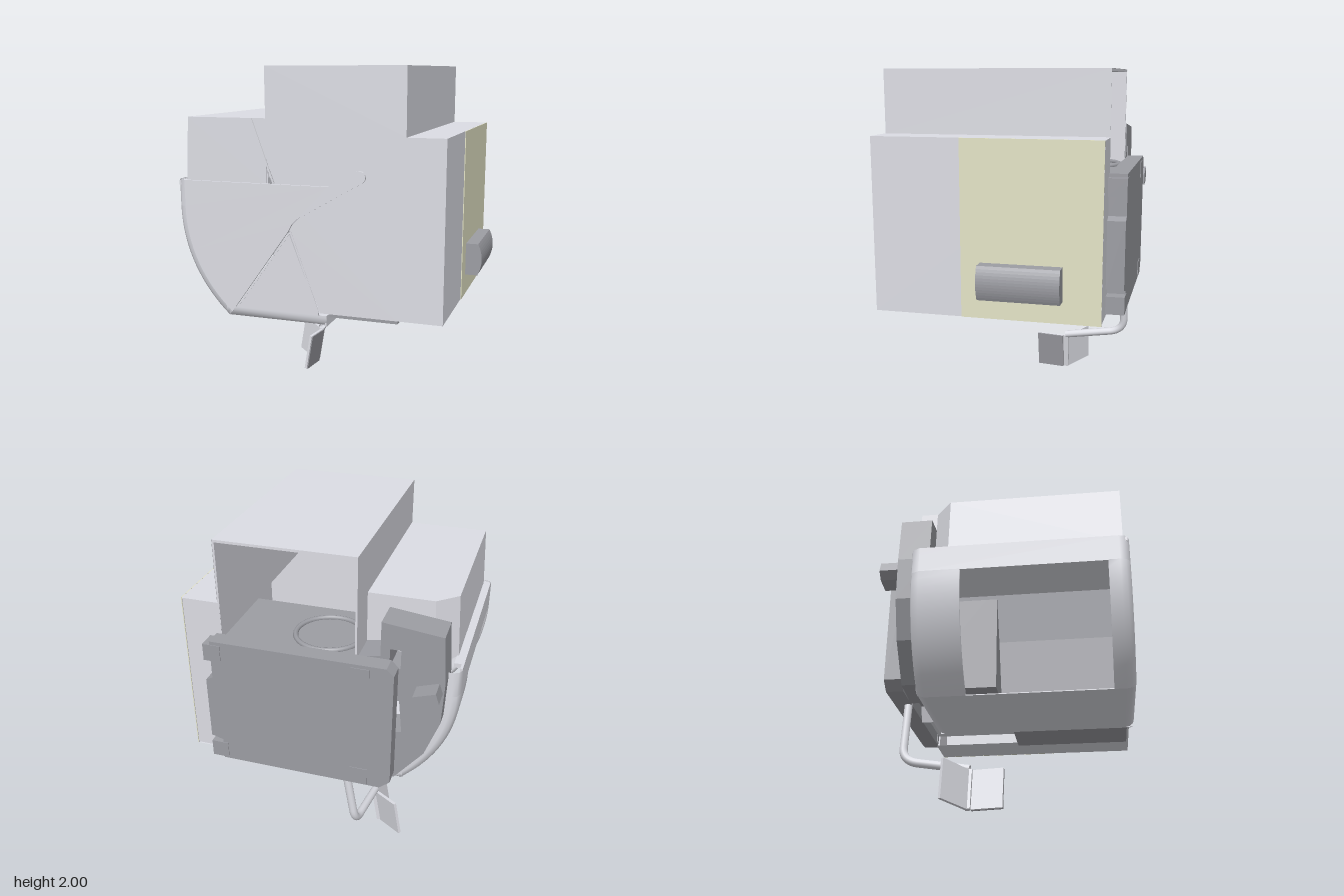
import * as THREE from 'three';

export function createModel() {
  const root = new THREE.Group();
  const mat = (name, color) => new THREE.MeshStandardMaterial({ name, color, side: THREE.DoubleSide });
  const light = mat('light grey', 0xdcdde4);
  const dark = mat('dark grey', 0x9c9da3);
  const yellow = mat('pale yellow', 0xe4e4c6);

  const add = (name, geo, material) => {
    const m = new THREE.Mesh(geo, material);
    m.name = name;
    root.add(m);
    return m;
  };
  // box given by its limits
  const box = (name, material, x0, x1, y0, y1, z0, z1) => {
    const m = add(name, new THREE.BoxGeometry(x1 - x0, y1 - y0, z1 - z0), material);
    m.position.set((x0 + x1) / 2, (y0 + y1) / 2, (z0 + z1) / 2);
    return m;
  };
  const toShape = (pts) => new THREE.Shape(pts.map((p) => new THREE.Vector2(p[0], p[1])));
  // front outline extruded from z0 to z1
  const slab = (name, material, pts, z0, z1, holes = []) => {
    const s = toShape(pts);
    holes.forEach((h) => s.holes.push(toShape(h)));
    const g = new THREE.ExtrudeGeometry(s, { depth: z1 - z0, bevelEnabled: false });
    return add(name, g.translate(0, 0, z0), material);
  };
  const inward = (pts, i) => {
    const a = pts[Math.max(i - 1, 0)], b = pts[Math.min(i + 1, pts.length - 1)];
    const dx = b[0] - a[0], dy = b[1] - a[1], l = Math.hypot(dx, dy);
    return [-dy / l, dx / l];
  };
  // thin sheet: front profile swept along z, section = [z, inset] pairs
  const sheet = (name, material, pts, section, flat) => {
    const pos = [], idx = [], n = section.length;
    pts.forEach((p, i) => {
      const [nx, ny] = inward(pts, i);
      section.forEach(([z, d]) => pos.push(p[0] + nx * d, p[1] + ny * d, z));
    });
    for (let i = 0; i < pts.length - 1; i++) {
      for (let j = 0; j < n - 1; j++) {
        const a = i * n + j, b = a + n;
        idx.push(a, a + 1, b, b, a + 1, b + 1);
      }
    }
    let g = new THREE.BufferGeometry();
    g.setAttribute('position', new THREE.Float32BufferAttribute(pos, 3));
    g.setIndex(idx);
    if (flat) g = g.toNonIndexed();
    g.computeVertexNormals();
    return add(name, g, material);
  };

  // main housing: walls, open at the back, and front panel
  const upper = [[0.47, 0.657], [0.72, 0.657], [0.72, 1.64], [0.51, 1.64], [0.51, 2], [-0.275, 2]];
  const lower = [[-0.14, 1.1], [0.03, 0.657]];
  sheet('housingWalls', light, [...upper, [-0.275, 1.37], ...lower], [[-0.605, 0], [0.675, 0]], true);
  slab('housingFront', light, [...upper, [-0.275, 1.72], [-0.352, 1.72], [-0.225, 1.365], ...lower], 0.66, 0.675);
  [[-0.274, -0.263, 1.4, 1.99], [0.498, 0.509, 1.43, 1.99], [-0.274, 0.509, 1.985, 1.999]].forEach(
    ([x0, x1, y0, y1]) => box('ductLining', light, x0, x1, y0, y1, -0.604, 0.66));
  box('housingBack', light, 0.5, 0.718, 0.665, 1.638, -0.605, -0.59);
  box('bottomCover', dark, 0.08, 0.47, 0.635, 0.657, -0.05, 0.66);
  box('bottomInnerFloor', light, 0.03, 0.47, 0.72, 0.74, -0.59, -0.05);

  // yellow side door and its handle with a rounded grip
  box('sideDoor', yellow, 0.7205, 0.725, 0.657, 1.64, -0.605, 0.17);
  const grip = [[0.722, 0.78]];
  for (let i = 0; i <= 12; i++) {
    const t = i / 6 - 1;
    grip.push([0.797 + 0.024 * (1 - t * t), 0.875 + 0.095 * t]);
  }
  slab('doorHandle', dark, [...grip, [0.722, 0.97]], -0.395, 0.06);

  // hood over the window, with a chamfered rear corner
  const hoodShape = toShape([[-0.27, 0.41], [-0.66, 0.41], [-0.77, 0.31], [-0.77, -0.668], [-0.27, -0.668]]);
  const hood = new THREE.ExtrudeGeometry(hoodShape, { depth: 0.362, bevelEnabled: false });
  hood.rotateX(-Math.PI / 2).translate(0, 1.36, 0);
  const hp = hood.attributes.position;
  for (let i = 0; i < hp.count; i++) {
    if (hp.getY(i) > 1.6 && hp.getX(i) < -0.5) hp.setX(i, hp.getX(i) + 0.02);
  }
  hood.computeVertexNormals();
  add('hood', hood, light);

  // curved guard: rail, straps beside the window, floor
  const bend = new THREE.CubicBezierCurve(new THREE.Vector2(-0.82, 1.22), new THREE.Vector2(-0.82, 0.97),
    new THREE.Vector2(-0.71, 0.75), new THREE.Vector2(-0.53, 0.588)).getPoints(16).map((p) => [p.x, p.y]);
  const frontLip = [[0.645, 0], [0.675, 0.007], [0.693, 0.025], [0.7, 0.05]];
  const backLip = [[-0.51, 0.08], [-0.51, 0.045], [-0.5, 0.018], [-0.46, 0]];
  const full = [...backLip, ...frontLip];
  sheet('guardRail', light, [[-0.82, 1.37], [-0.82, 1.22]], full);
  sheet('guardFrontStrap', light, bend, [[0.58, 0.02], [0.58, 0], ...frontLip]);
  sheet('guardBackStrap', light, bend, [...backLip, [-0.23, 0], [-0.23, 0.02]]);
  sheet('guardFloor', light, [[-0.53, 0.588], [0.075, 0.588]], [...full, [0.7, 0.065]]);
  box('guardRailLining', light, -0.814, -0.8, 1.22, 1.368, -0.45, 0.66);
  box('guardRailLedge', light, -0.81, -0.76, 1.34, 1.366, -0.4, 0.69);
  box('guardFloorLining', light, -0.5, 0.07, 0.594, 0.606, -0.45, 0.65);
  box('guardFloorEnd', light, 0.066, 0.075, 0.589, 0.65, -0.49, 0.69);

  // front plate of the guard with its pivot arm
  const tip = [];
  for (let i = 0; i <= 8; i++) {
    const a = 2.05 - (i / 8) * Math.PI;
    tip.push([0.264 + 0.034 * Math.cos(a), 1.427 + 0.034 * Math.sin(a)]);
  }
  const innerBend = bend.map((p, i) => {
    const [nx, ny] = inward(bend, i);
    return [p[0] + nx * 0.049, p[1] + ny * 0.049];
  }).reverse();
  slab('guardFrontPlate', light, [[-0.771, 1.37], [0.09, 1.37], ...tip, [-0.09, 1.185], [-0.12, 1.155],
    [-0.145, 1.11], ...innerBend], 0.685, 0.7);
  slab('lowerFrontPlate', light, [[-0.49, 0.62], [-0.15, 1.1], [0.02, 0.657], [0.02, 0.62]], 0.66, 0.676);

  // thin seams between front panels
  const seam = (x0, y0, x1, y1) => {
    const m = add('seam', new THREE.BoxGeometry(0.009, Math.hypot(x1 - x0, y1 - y0), 0.006), light);
    m.position.set((x0 + x1) / 2, (y0 + y1) / 2, 0.675);
    m.rotation.z = Math.atan2(x0 - x1, y1 - y0);
  };
  seam(-0.235, 1.37, -0.36, 1.72);
  seam(0.02, 0.66, -0.14, 1.11);
  seam(-0.5, 0.61, -0.145, 1.1);

  // rear mechanism: case, back plate with notches, corner tabs
  box('mechanismCase', dark, -0.26, 0.49, 0.75, 1.43, -0.61, -0.1);
  slab('backPlate', dark, [[-0.5, 0.72], [-0.44, 0.67], [0.5, 0.67], [0.5, 0.8], [0.57, 0.82], [0.57, 1.2],
    [0.53, 1.22], [0.53, 1.45], [-0.46, 1.45], [-0.5, 1.41]], -0.705, -0.605);
  [[0.47, 1.33], [-0.37, 1.33], [0.47, 0.68], [-0.37, 0.68]].forEach(([x, y]) =>
    box('cornerTab', dark, x, x + 0.1, y, y + 0.1, -0.709, -0.6));
  const ring = add('topRing', new THREE.TorusGeometry(0.19, 0.015, 8, 40), dark);
  ring.rotation.x = Math.PI / 2;
  ring.position.set(-0.06, 1.435, -0.4);

  // side bracket behind the hood
  slab('sideBracket', dark, [[-0.4, 1.66], [-0.73, 1.62], [-0.75, 1.35], [-0.74, 1.1], [-0.66, 0.88],
    [-0.5, 0.68], [-0.28, 0.66], [-0.28, 1.44], [-0.4, 1.46]], -0.6, -0.42,
  [[[-0.53, 1.0], [-0.43, 0.98], [-0.43, 1.18], [-0.51, 1.2]], [[-0.51, 1.4], [-0.45, 1.4], [-0.45, 1.51], [-0.51, 1.51]]]);
  slab('bracketBlock', dark, [[-0.74, 1.29], [-0.7, 1.25], [-0.6, 1.24], [-0.6, 1.31], [-0.72, 1.35]], -0.707, -0.6);

  // bent lever with two pads
  const path = new THREE.CurvePath();
  const v = (x, y, z) => new THREE.Vector3(x, y, z);
  path.add(new THREE.LineCurve3(v(-0.22, 0.7, -0.627), v(-0.27, 0.39, -0.627)));
  path.add(new THREE.QuadraticBezierCurve3(v(-0.27, 0.39, -0.627), v(-0.285, 0.305, -0.627), v(-0.288, 0.29, -0.53)));
  path.add(new THREE.LineCurve3(v(-0.288, 0.29, -0.53), v(-0.305, 0.24, -0.235)));
  add('lever', new THREE.TubeGeometry(path, 40, 0.024, 12), light);
  const pad = (name, material, w, d, x, y, z, ry) => {
    const m = add(name, new THREE.BoxGeometry(w, 0.235, d), material);
    m.position.set(x, y, z);
    m.rotation.set(0, ry, -0.17, 'ZYX');
  };
  pad('sidePad', light, 0.016, 0.175, -0.324, 0.12, -0.13, -0.1);
  pad('sidePadFace', dark, 0.008, 0.175, -0.312, 0.118, -0.129, -0.1);
  pad('frontPad', light, 0.19, 0.018, -0.41, 0.13, -0.3, -0.65);
  pad('padHinge', light, 0.03, 0.03, -0.322, 0.12, -0.235, 0);

  return root;
}
